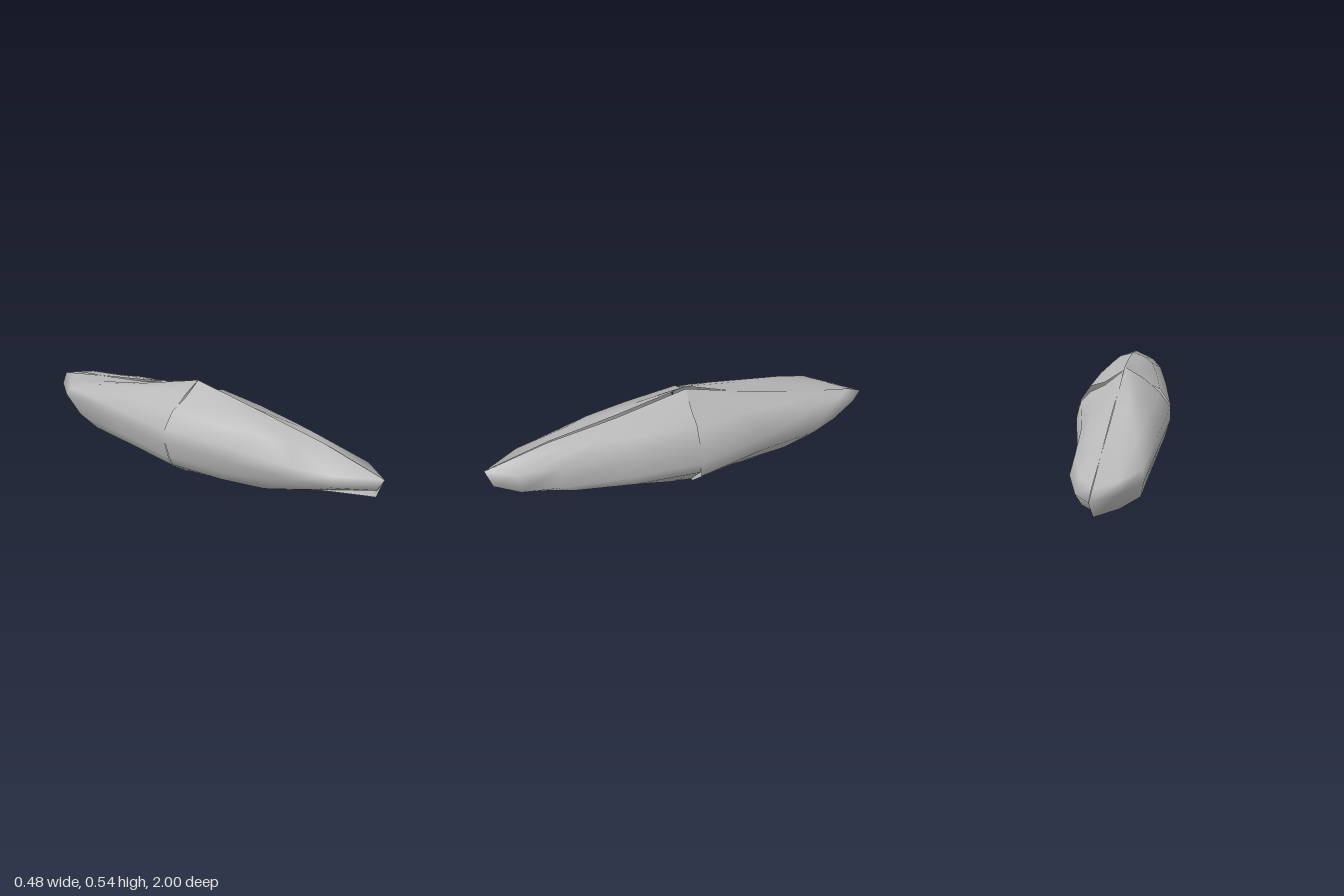
import * as THREE from 'three';

// Widest outline seen from above (x, z), starting at the front tip and going round by +x
const OUTLINE = [
  [0.11, 0.99], [0.19, 0.87], [0.21, 0.7], [0.238, 0.35],
  [0.24, 0], [0.14, -0.37], [0.085, -0.72], [0.01, -0.92],
  [-0.065, -1], [-0.165, -0.9], [-0.24, -0.77], [-0.24, -0.37],
  [-0.24, 0], [-0.165, 0.35], [-0.09, 0.65], [-0.015, 0.83],
];

// Four shells that split slightly along their seams. Each ring, from top to bottom:
// outline scale at the first and last seam, height at the first and last seam
const SHELLS = [
  { name: 'frontLeftShell', peak: 0.525, foot: 0.03, rings: [
    [0.37, 0.38, 0.465, 0.455], [0.7, 0.69, 0.425, 0.43], [1.01, 0.9, 0.355, 0.355],
    [0.98, 1, 0.255, 0.25], [0.81, 0.95, 0.21, 0.19], [0.68, 0.63, 0.175, 0.11], [0.35, 0.35, 0.105, 0.035]] },
  { name: 'backLeftShell', peak: 0.525, foot: 0.03, rings: [
    [0.38, 0.37, 0.44, 0.425], [0.69, 0.7, 0.4, 0.35], [0.9, 0.92, 0.345, 0.31],
    [1, 1, 0.25, 0.28], [1, 0.87, 0.175, 0.18], [0.69, 0.75, 0.1, 0.1], [0.38, 0.43, 0.03, 0.05]] },
  { name: 'backRightShell', peak: 0.54, foot: 0.03, rings: [
    [0.37, 0.42, 0.415, 0.49], [0.7, 0.78, 0.35, 0.42], [0.92, 1, 0.3, 0.345],
    [1, 1, 0.28, 0.28], [0.9, 0.9, 0.17, 0.19], [0.75, 0.79, 0.105, 0.135], [0.43, 0.38, 0.055, 0.06]] },
  { name: 'frontRightShell', peak: 0.54, foot: 0, rings: [
    [0.42, 0.37, 0.475, 0.48], [0.78, 0.7, 0.435, 0.43], [1, 1.01, 0.36, 0.355],
    [1, 0.98, 0.29, 0.29], [0.9, 0.84, 0.2, 0.235], [0.79, 0.69, 0.14, 0.18], [0.38, 0.36, 0.065, 0.105]] },
];
const STEPS = 4;

function shellGeometry({ peak, foot, rings }, quarter) {
  const points = [], index = [], row = STEPS + 1;
  for (const [s0, s1, y0, y1] of rings) {
    for (let j = 0; j <= STEPS; j++) {
      const [x, z] = OUTLINE[(quarter * STEPS + j) % OUTLINE.length];
      const t = Math.sin((j / STEPS) * Math.PI / 2) ** 2;
      const s = THREE.MathUtils.lerp(s0, s1, t);
      points.push(x * s, THREE.MathUtils.lerp(y0, y1, t), z * s);
    }
  }
  // Peak and foot
  const top = rings.length * row, bottom = top + 1;
  points.push(-0.01, peak, 0, 0.01, foot, 0);

  const last = (rings.length - 1) * row;
  for (let j = 0; j < STEPS; j++) {
    index.push(top, j, j + 1, bottom, last + j + 1, last + j);
    // Skin between neighbouring rings
    for (let a = j; a < last; a += row) {
      index.push(a, a + row, a + 1, a + 1, a + row, a + row + 1);
    }
  }
  const geometry = new THREE.BufferGeometry();
  geometry.setAttribute('position', new THREE.Float32BufferAttribute(points, 3));
  geometry.setIndex(index);
  geometry.computeVertexNormals();
  return geometry;
}

export function createModel() {
  const stone = new THREE.MeshStandardMaterial({ color: 0xb8b8b8, side: THREE.DoubleSide });
  stone.name = 'stone grey';
  const group = new THREE.Group();
  group.name = 'longRock';
  SHELLS.forEach((shell, quarter) => {
    const mesh = new THREE.Mesh(shellGeometry(shell, quarter), stone);
    mesh.name = shell.name;
    group.add(mesh);
  });
  return group;
}
